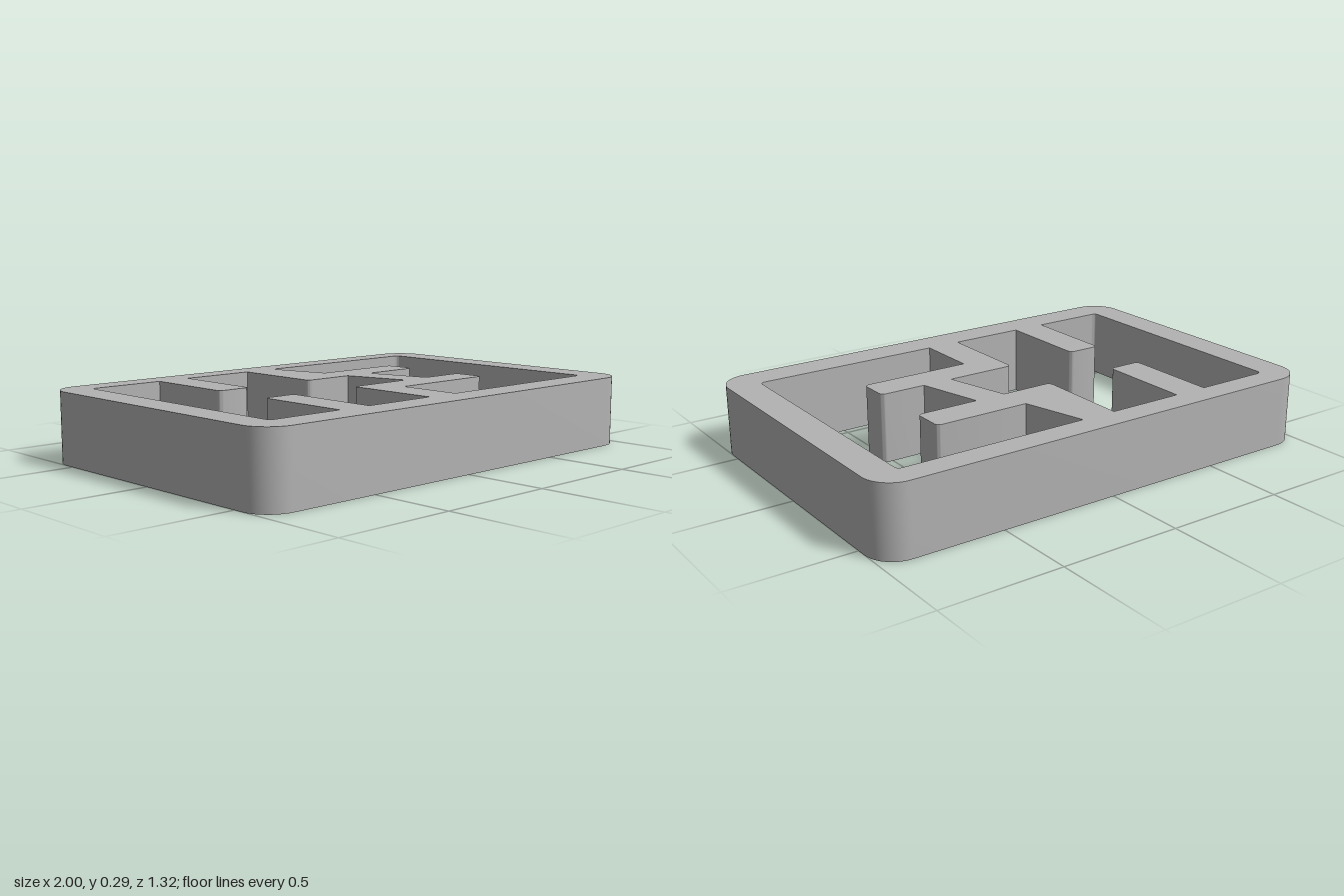
import * as THREE from 'three';
import { toCreasedNormals } from 'three/addons/utils/BufferGeometryUtils.js';

const HEIGHT = 0.29;
const R = 0.02; // small corner radius

// Traces a closed outline of [x, z, radius] points, rounding corners that have a radius
function trace(path, points) {
  const n = points.length;
  const toward = (a, b, d) => {
    const len = Math.hypot(b[0] - a[0], b[1] - a[1]);
    return [a[0] + ((b[0] - a[0]) * d) / len, a[1] + ((b[1] - a[1]) * d) / len];
  };
  points.forEach((p, i) => {
    const r = p[2] || 0;
    const prev = points[(i + n - 1) % n], next = points[(i + 1) % n];
    const start = toward(p, prev, r);
    if (i === 0) path.moveTo(...start);
    else path.lineTo(...start);
    if (r) {
      const k = r * 0.4477; // cubic handles approximating a quarter circle
      path.bezierCurveTo(...toward(p, prev, k), ...toward(p, next, k), ...toward(p, next, r));
    }
  });
  path.closePath();
  return path;
}

export function createModel() {
  const group = new THREE.Group();
  const grey = new THREE.MeshStandardMaterial({ color: 0xb3b3b3 });
  grey.name = 'plain grey';

  // Outer frame with large rounded corners
  const frame = trace(new THREE.Shape(), [
    [-1, -0.66, 0.12], [1, -0.66, 0.12], [1, 0.66, 0.12], [-1, 0.66, 0.12],
  ]);

  // Left opening, around the two short dividers
  const leftOpening = trace(new THREE.Path(), [
    [-0.868, -0.553, R], [-0.545, -0.553], [-0.545, -0.151, R], [-0.4, -0.151, R],
    [-0.4, -0.553], [-0.08, -0.553], [-0.08, -0.151, R], [0.145, -0.151],
    [0.217, 0.119], [-0.08, 0.119, R], [-0.08, 0.527], [-0.4, 0.527],
    [-0.4, 0.119, R], [-0.545, 0.119, R], [-0.545, 0.527], [-0.868, 0.527, R],
  ]);

  // Right opening, around the two arms and the slanted link
  const rightOpening = trace(new THREE.Path(), [
    [0.069, -0.553], [0.868, -0.553, R], [0.868, 0.527, R], [0.066, 0.527],
    [0.066, 0.256], [0.542, 0.256, R], [0.542, 0.119, R], [0.347, 0.119],
    [0.276, -0.151], [0.542, -0.151, R], [0.542, -0.29, R], [0.14, -0.29],
  ]);
  frame.holes.push(leftOpening, rightOpening);

  // Extrude and lay flat with the base on y = 0
  const geometry = new THREE.ExtrudeGeometry(frame, {
    depth: HEIGHT, bevelEnabled: false, curveSegments: 10,
  });
  geometry.rotateX(Math.PI / 2).translate(0, HEIGHT, 0);

  const mesh = new THREE.Mesh(toCreasedNormals(geometry, Math.PI / 6), grey);
  mesh.name = 'dividedFrame';
  group.add(mesh);
  return group;
}
